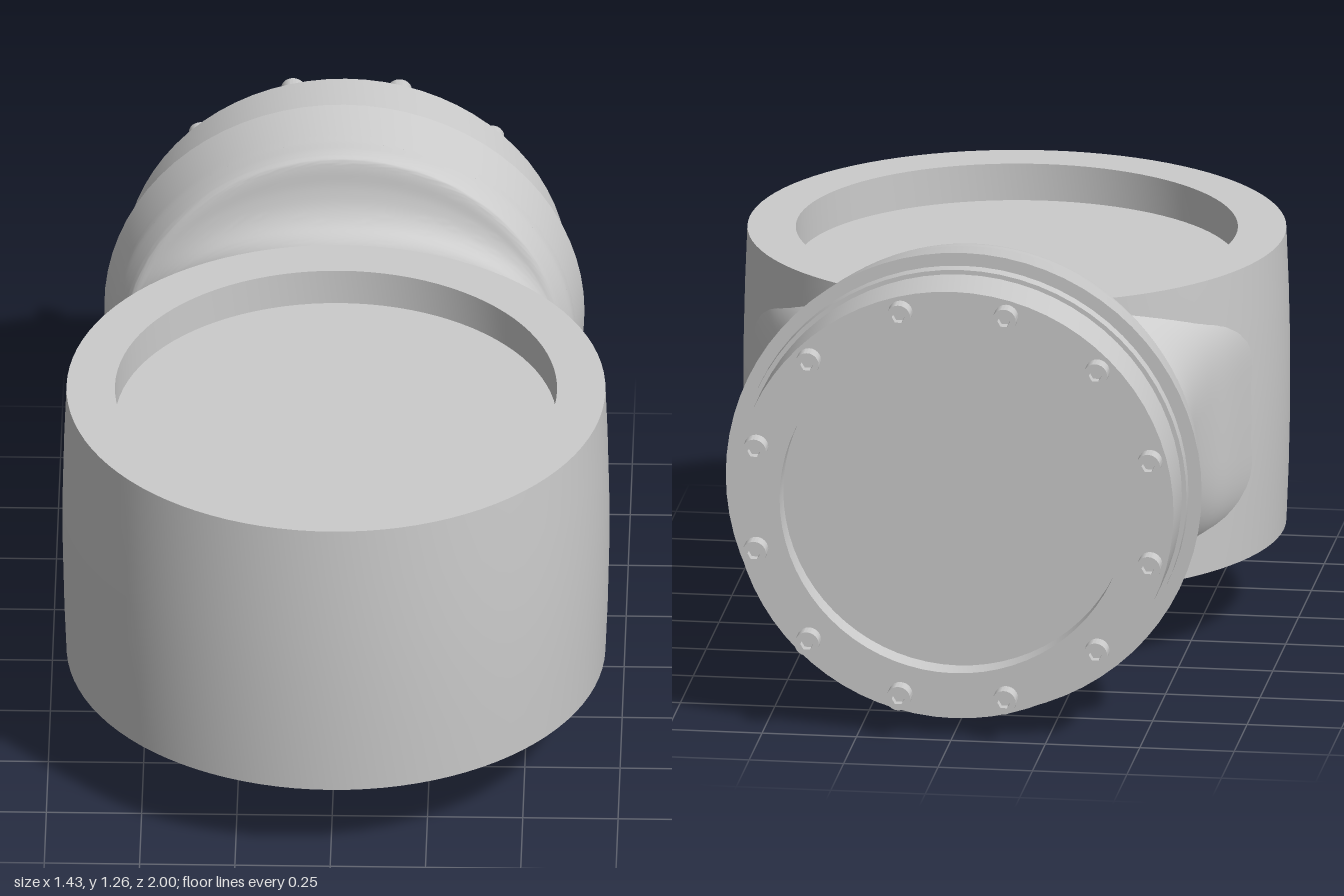
import * as THREE from 'three';
import { toCreasedNormals } from 'three/addons/utils/BufferGeometryUtils.js';

const AXIS_Y = 0.63, DRUM_Z = 0.283;
const material = new THREE.MeshStandardMaterial({ color: 0xcccccc });

function part(name, geometry) {
  const mesh = new THREE.Mesh(toCreasedNormals(geometry, 0.5), material);
  mesh.name = name;
  return mesh;
}

function lathe(points, segments = 72) {
  return new THREE.LatheGeometry(points.map(([r, y]) => new THREE.Vector2(r, y)), segments);
}

// Lathe whose axis runs backwards: profile points are [radius, distance behind z = 0]
function backLathe(points) {
  return lathe(points).rotateX(-Math.PI / 2).translate(0, AXIS_Y, 0);
}

// Loft of superellipse sections, boxy at the drum and round at the flange
function neckGeometry() {
  const path = new THREE.CatmullRomCurve3([
    // half width, half height, z
    [0.675, 0.385, 0.05], [0.625, 0.39, -0.1], [0.583, 0.394, -0.2], [0.556, 0.397, -0.3],
    [0.549, 0.398, -0.4], [0.552, 0.402, -0.45], [0.556, 0.418, -0.485], [0.561, 0.455, -0.512],
    [0.567, 0.51, -0.528], [0.572, 0.57, -0.535], [0.578, 0.592, -0.542], [0.589, 0.601, -0.565],
    [0.606, 0.606, -0.605], [0.61, 0.61, -0.63]
  ].map(p => new THREE.Vector3(...p)));
  const rows = 65, sides = 128, wall = 0.65;
  const positions = [], index = [];
  for (let j = 0; j <= rows; j++) {
    const p = path.getPoint(j / rows);
    const power = 2 / THREE.MathUtils.lerp(5, 2, THREE.MathUtils.smoothstep(-p.z, -0.05, 0.54));
    for (let i = 0; i <= sides; i++) {
      const a = (i % sides) / sides * Math.PI * 2, c = Math.cos(a), s = Math.sin(a);
      const x = p.x * Math.sign(c) * Math.abs(c) ** power;
      const y = p.y * Math.sign(s) * Math.abs(s) ** power;
      // keep the neck inside the drum wall, clear of the recess
      const z = Math.abs(x) < wall ? Math.min(p.z, DRUM_Z - Math.sqrt(wall * wall - x * x)) : p.z;
      positions.push(x, y + AXIS_Y, z);
      if (j < rows && i < sides) {
        const k = j * (sides + 1) + i, n = k + sides + 1;
        index.push(k, n, k + 1, k + 1, n, n + 1);
      }
    }
  }
  const geometry = new THREE.BufferGeometry();
  geometry.setAttribute('position', new THREE.Float32BufferAttribute(positions, 3));
  geometry.setIndex(index);
  return geometry;
}

// Round bolt head with a hexagonal socket, facing -z
function makeBolt() {
  const shape = new THREE.Shape().absarc(0, 0, 0.032, 0, Math.PI * 2);
  const socket = [];
  for (let i = 0; i < 6; i++) {
    const a = -i * Math.PI / 3;
    socket.push(new THREE.Vector2(0.017 * Math.cos(a), 0.017 * Math.sin(a)));
  }
  shape.holes.push(new THREE.Path(socket));
  const bolt = new THREE.Group();
  bolt.name = 'bolt';
  const head = new THREE.ExtrudeGeometry(shape, { depth: 0.055, bevelEnabled: false, curveSegments: 12 });
  const core = new THREE.CylinderGeometry(0.02, 0.02, 0.03, 12).rotateX(Math.PI / 2).translate(0, 0, 0.04);
  bolt.add(part('boltHead', head), part('socketFloor', core));
  return bolt;
}

export function createModel() {
  const model = new THREE.Group();
  model.name = 'drumWithFlange';

  // Slightly barrelled drum with a shallow recess in its top
  const drum = part('drum', lathe([
    [0, 0.23], [0.707, 0.23], [0.713, 0.38], [0.717, 0.55], [0.717, 0.71], [0.713, 0.88],
    [0.707, 1.03], [0.58, 1.03], [0.58, 0.93], [0, 0.93]
  ], 96));
  drum.position.z = DRUM_Z;
  model.add(drum);

  model.add(part('neck', neckGeometry()));

  // Flared flange, gasket step and recessed cover
  model.add(part('flange', backLathe([[0.5, 0.605], [0.606, 0.605], [0.63, 0.75], [0, 0.75]])));
  model.add(part('gasketRing', backLathe([[0.5, 0.74], [0.595, 0.74], [0.595, 0.79], [0, 0.79]])));
  model.add(part('cover', backLathe([
    [0.5, 0.78], [0.583, 0.78], [0.583, 0.953], [0.46, 0.953], [0.46, 0.88], [0, 0.88]
  ])));

  // Ring of twelve bolts
  for (let i = 0; i < 12; i++) {
    const a = (i + 0.5) * Math.PI / 6;
    const bolt = makeBolt();
    bolt.position.set(0.54 * Math.cos(a), AXIS_Y + 0.54 * Math.sin(a), -1);
    model.add(bolt);
  }
  return model;
}
